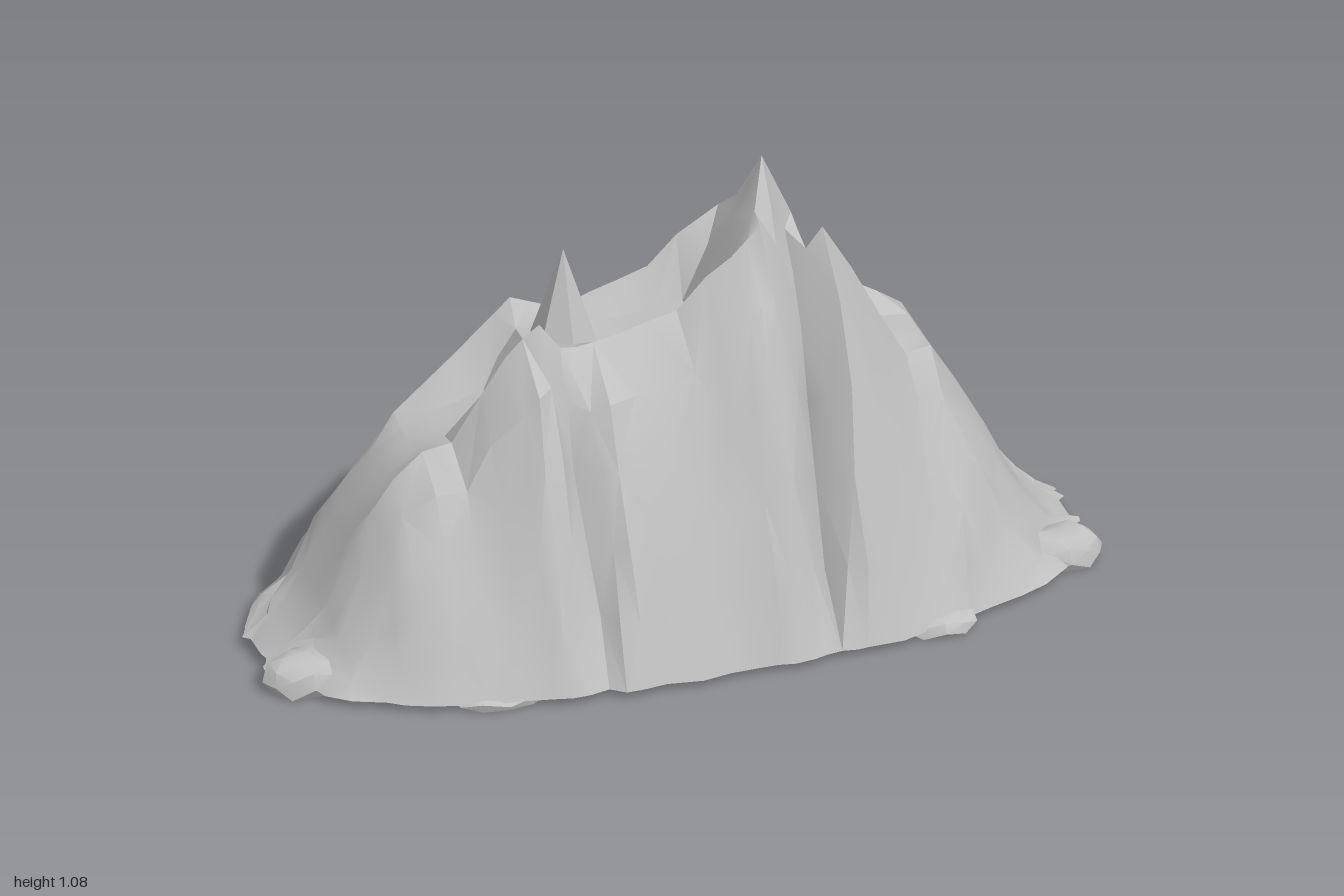
import * as THREE from 'three';
import { toCreasedNormals } from 'three/addons/utils/BufferGeometryUtils.js';

const stone = new THREE.MeshStandardMaterial({ color: 0xc0c0c0 });
stone.name = 'stone grey';

// Crest heights along x: front rim, middle hollow and back rim
const frontRim = [[-0.97, 0.03], [-0.92, 0.06], [-0.88, 0.1], [-0.83, 0.16], [-0.77, 0.3], [-0.72, 0.39], [-0.67, 0.46],
  [-0.6, 0.52], [-0.53, 0.53], [-0.46, 0.64], [-0.4, 0.73], [-0.36, 0.77], [-0.32, 0.8], [-0.27, 0.73], [-0.23, 0.725],
  [-0.19, 0.73], [-0.13, 0.74], [-0.06, 0.76], [0.01, 0.775], [0.08, 0.85], [0.14, 0.89], [0.18, 0.93], [0.21, 0.96],
  [0.25, 0.9], [0.29, 0.82], [0.32, 0.88], [0.36, 0.93], [0.43, 0.81], [0.5, 0.67], [0.56, 0.56], [0.62, 0.57],
  [0.68, 0.47], [0.75, 0.34], [0.82, 0.19], [0.88, 0.095], [0.93, 0.05], [0.97, 0.03]];
const hollow = [[-0.97, 0.03], [-0.88, 0.1], [-0.83, 0.16], [-0.77, 0.3], [-0.67, 0.45], [-0.6, 0.5], [-0.4, 0.56],
  [-0.32, 0.7], [-0.25, 0.72], [-0.13, 0.68], [0.08, 0.7], [0.18, 0.93], [0.25, 1.08], [0.32, 0.92], [0.39, 0.68],
  [0.5, 0.58], [0.62, 0.565], [0.75, 0.34], [0.82, 0.19], [0.88, 0.095], [0.97, 0.03]];
const backRim = [[-0.97, 0.03], [-0.88, 0.1], [-0.83, 0.16], [-0.77, 0.3], [-0.6, 0.51], [-0.45, 0.64], [-0.32, 0.76],
  [-0.2, 0.71], [-0.1, 0.75], [0, 0.77], [0.08, 0.85], [0.18, 0.91], [0.25, 0.92], [0.36, 0.78], [0.45, 0.67],
  [0.52, 0.64], [0.62, 0.57], [0.75, 0.34], [0.82, 0.19], [0.88, 0.095], [0.97, 0.03]];

// Wall profile as [fraction of half depth, fraction of rim height]
const wall = [[1, 0], [0.88, 0.21], [0.75, 0.43], [0.6, 0.65], [0.45, 0.86]];

// Gullies as [x, width to -x, width to +x, depth]
const frontGullies = [[-0.27, 0.1, 0.05, 0.055], [0.29, 0.09, 0.05, 0.055]];
const backGullies = [[-0.19, 0.09, 0.05, 0.05], [0.21, 0.08, 0.05, 0.05]];

function seeded(seed) {
  return () => {
    seed = (seed * 16807) % 2147483647;
    return seed / 1073741823.5 - 1;
  };
}

function sample(list, x) {
  for (let i = 1; i < list.length; i++) {
    const [x0, y0] = list[i - 1], [x1, y1] = list[i];
    if (x <= x1) return y0 + (y1 - y0) * (x - x0) / (x1 - x0);
  }
  return list[list.length - 1][1];
}

function gullyDepth(list, x) {
  return list.reduce((sum, [gx, left, right, depth]) =>
    sum + depth * Math.max(0, 1 - Math.abs(x - gx) / (x < gx ? left : right)), 0);
}

// Mountain skin: closed cross-sections joined along x
function mountainGeometry() {
  const rnd = seeded(71), base = 0.02;

  const sections = frontRim.map(([x, f]) => {
    const half = 0.452 * Math.pow(1 - Math.pow(Math.abs(x) / 0.985, 2.4), 1 / 2.4);
    const t = sample(hollow, x), b = sample(backRim, x);
    const loose = Math.abs(x) > 0.87 ? 0.02 : 0.01;
    const side = (rim, sign, gullies) => {
      const cut = gullyDepth(gullies, x) + rnd() * 0.008;
      return wall.map(([s, h], k) => {
        const z = Math.max(half * 0.36, half * s - cut * (k ? 1 : 0.2) + rnd() * 0.008);
        const y = base + (rim - base) * (h + (k ? rnd() * 0.02 : 0));
        return [x + rnd() * loose, y, sign * z];
      });
    };
    // Rims run nearly parallel, the hollow between them is uneven
    const front = Math.min(0.085, half * 0.3), back = -Math.min(0.12, half * 0.33);
    const crest = [[front, f], [front * 0.45 + rnd() * 0.015, Math.min(t, (t + f) / 2)], [-0.02, t],
      [back * 0.6 + rnd() * 0.015, Math.min(t, (t + b) / 2)], [back, b]].map(([z, y]) => [x, y, z]);
    return [...side(f, 1, frontGullies), ...crest, ...side(b, -1, backGullies).reverse()];
  });

  const n = sections[0].length, index = [];
  for (let i = 0; i < sections.length - 1; i++) {
    for (let j = 0; j < n; j++) {
      const a = i * n + j, d = i * n + (j + 1) % n, b = a + n, c = d + n;
      if ((i + j) % 2) index.push(a, b, d, b, c, d);
      else index.push(a, b, c, a, c, d);
    }
  }
  const geo = new THREE.BufferGeometry();
  geo.setAttribute('position', new THREE.Float32BufferAttribute(sections.flat(2), 3));
  geo.setIndex(index);
  return toCreasedNormals(geo, 0.5);
}

// Boulder: dented ball with a flat underside and a broad top
function boulderGeometry(rx, ry, rz, seed) {
  const geo = new THREE.IcosahedronGeometry(1, 1);
  const p = geo.attributes.position;
  for (let i = 0; i < p.count; i++) {
    const x = p.getX(i), y = p.getY(i), z = p.getZ(i);
    const dent = 0.97 + 0.05 * Math.sin(5 * x + 3 * y + 7 * z + seed);
    const rise = Math.pow(Math.max(0, y + 0.2) / 1.2, 0.7);
    p.setXYZ(i, x * dent * rx, rise * dent * ry, z * dent * rz);
  }
  return toCreasedNormals(geo, 0.5);
}

export function createModel() {
  const group = new THREE.Group();
  group.name = 'mountain';
  const add = (name, geo, x = 0, y = 0, z = 0) => {
    const mesh = new THREE.Mesh(geo, stone);
    mesh.name = name;
    mesh.position.set(x, y, z);
    group.add(mesh);
  };

  add('mountainBody', mountainGeometry());

  // Sharp pinnacle rising from the saddle
  add('pinnacle', toCreasedNormals(new THREE.ConeGeometry(0.085, 0.25, 6), 0.5), -0.23, 0.805, -0.01);

  // Boulders around the foot: [x, z, radius x, height, radius z]
  const boulders = [[-0.905, 0.15, 0.1, 0.09, 0.075], [0.905, 0.165, 0.1, 0.085, 0.075],
    [-0.5, 0.34, 0.13, 0.04, 0.08], [0.02, 0.35, 0.16, 0.04, 0.07], [0.54, 0.35, 0.1, 0.05, 0.08],
    [-0.5, -0.32, 0.13, 0.04, 0.08], [0.02, -0.35, 0.16, 0.04, 0.08], [0.54, -0.31, 0.1, 0.04, 0.08]];
  boulders.forEach(([x, z, rx, h, rz], i) => add('boulder' + (i + 1), boulderGeometry(rx, h, rz, i * 1.7), x, 0, z));

  return group;
}
